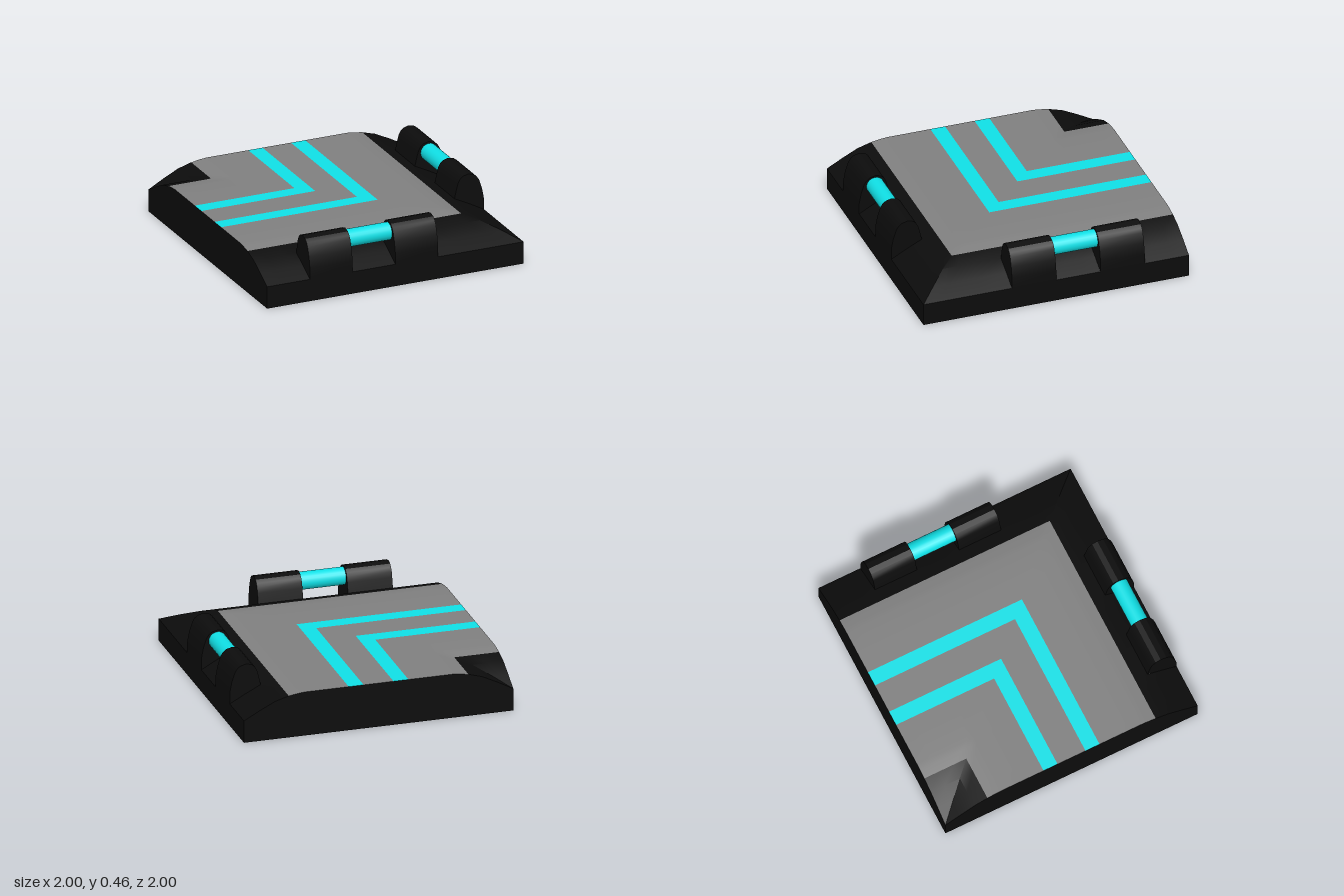
import * as THREE from 'three';
import { toCreasedNormals } from 'three/addons/utils/BufferGeometryUtils.js';

const material = (color) => new THREE.MeshStandardMaterial({ color, side: THREE.DoubleSide });

// Height of the surface by distance from the tile border
const EDGE = [[0, 0.167], [0.115, 0.23], [0.23, 0.287], [0.333, 0.317], [0.4, 0.328], [0.45, 0.333]];
function edgeHeight(d) {
  for (let i = 1; i < EDGE.length; i++) {
    const [d0, h0] = EDGE[i - 1], [d1, h1] = EDGE[i];
    if (d <= d1) return h0 + (h1 - h0) * (d - d0) / (d1 - d0);
  }
  return 0.333;
}

// Two outer slopes and a sunken inner corner
const height = (x, z) => Math.min(
  edgeHeight(1 - x), edgeHeight(1 - z),
  Math.max(edgeHeight(1 + x), edgeHeight(1 + z)));

// Grid lines, symmetric about zero
const HALF = [0.111, 0.222, 0.333, 0.55, 0.6, 0.667, 0.77, 0.885, 1];
const LINES = [...HALF.map((v) => -v).reverse(), 0, ...HALF];

const addQuad = (list, a, b, c, d) => list.push(...a, ...b, ...c, ...a, ...c, ...d);

function buildMesh(name, positions, mat) {
  const geometry = new THREE.BufferGeometry();
  geometry.setAttribute('position', new THREE.Float32BufferAttribute(positions, 3));
  const mesh = new THREE.Mesh(toCreasedNormals(geometry, 0.4), mat);
  mesh.name = name;
  return mesh;
}

// Which part a surface cell belongs to; cells beneath the hollow posts are left open
const underPost = (along, across) =>
  across > 0.77 && ((along > -0.667 && along < -0.333) || (along > 0 && along < 0.333));
function partAt(x, z) {
  if (underPost(x, z) || underPost(z, x)) return null;
  const m = Math.max(x, z);
  if (m > 0.667 || m < -0.667) return 'border';
  if (m > -0.222 && m < -0.111) return 'innerStripe';
  if (m > 0.111 && m < 0.222) return 'outerStripe';
  return 'roadSurface';
}

// Hollow rounded post, centred along x, with its profile across z
const POST = [[1, 0.167], [1, 0.25], [0.985, 0.33], [0.962, 0.4], [0.945, 0.427], [0.92, 0.447],
  [0.875, 0.458], [0.835, 0.447], [0.813, 0.427], [0.798, 0.4], [0.787, 0.36], [0.77, 0.287]];
function postPositions() {
  const list = [], w = 0.1667;
  const at = (x, [z, y]) => [x, y, z];
  for (let i = 1; i < POST.length; i++) {
    const p = POST[i - 1], q = POST[i];
    addQuad(list, at(-w, p), at(w, p), at(w, q), at(-w, q));
    if (i > 1) {
      list.push(...at(w, POST[0]), ...at(w, q), ...at(w, p));
      list.push(...at(-w, POST[0]), ...at(-w, p), ...at(-w, q));
    }
  }
  return list;
}

export function createModel() {
  const model = new THREE.Group();
  model.name = 'cornerTrackTile';
  const black = material(0x0c0c0c), grey = material(0x808080), cyan = material(0x10e0e6);

  // Top surface, sorted cell by cell into its coloured parts
  const parts = { border: [], roadSurface: [], innerStripe: [], outerStripe: [] };
  const point = (x, z) => [x, height(x, z), z];
  for (let i = 1; i < LINES.length; i++) {
    for (let j = 1; j < LINES.length; j++) {
      const x0 = LINES[i - 1], x1 = LINES[i], z0 = LINES[j - 1], z1 = LINES[j];
      const part = partAt((x0 + x1) / 2, (z0 + z1) / 2);
      if (part) addQuad(parts[part], point(x0, z0), point(x0, z1), point(x1, z1), point(x1, z0));
    }
  }
  const colours = { border: black, roadSurface: grey, innerStripe: cyan, outerStripe: cyan };
  for (const name in parts) model.add(buildMesh(name, parts[name], colours[name]));

  // Side walls down to the ground, open underneath
  const walls = [];
  const sides = [(t) => [t, 1], (t) => [1, -t], (t) => [-t, -1], (t) => [-1, t]];
  for (const side of sides) {
    for (let i = 1; i < LINES.length; i++) {
      const [xa, za] = side(LINES[i - 1]), [xb, zb] = side(LINES[i]);
      addQuad(walls, [xa, 0, za], [xb, 0, zb], point(xb, zb), point(xa, za));
    }
  }
  model.add(buildMesh('sideWalls', walls, black));

  // Lamp on each outer edge: a tube held between two posts
  const post = postPositions();
  for (const name of ['frontLamp', 'sideLamp']) {
    const lamp = new THREE.Group();
    lamp.name = name;
    const turned = name === 'sideLamp';
    const place = (mesh, along) => {
      mesh.position.x = turned ? -along : along;
      lamp.add(mesh);
    };
    place(buildMesh('lampPost', post, black), -0.5);
    place(buildMesh('lampPost', post, black), 0.1667);
    const tube = new THREE.Mesh(
      new THREE.CylinderGeometry(0.065, 0.065, 0.342, 24, 1, true).rotateZ(Math.PI / 2), cyan);
    tube.name = 'lampTube';
    tube.position.set(0, 0.379, 0.88);
    place(tube, -0.1667);
    if (turned) lamp.rotation.y = Math.PI / 2;
    model.add(lamp);
  }
  return model;
}
